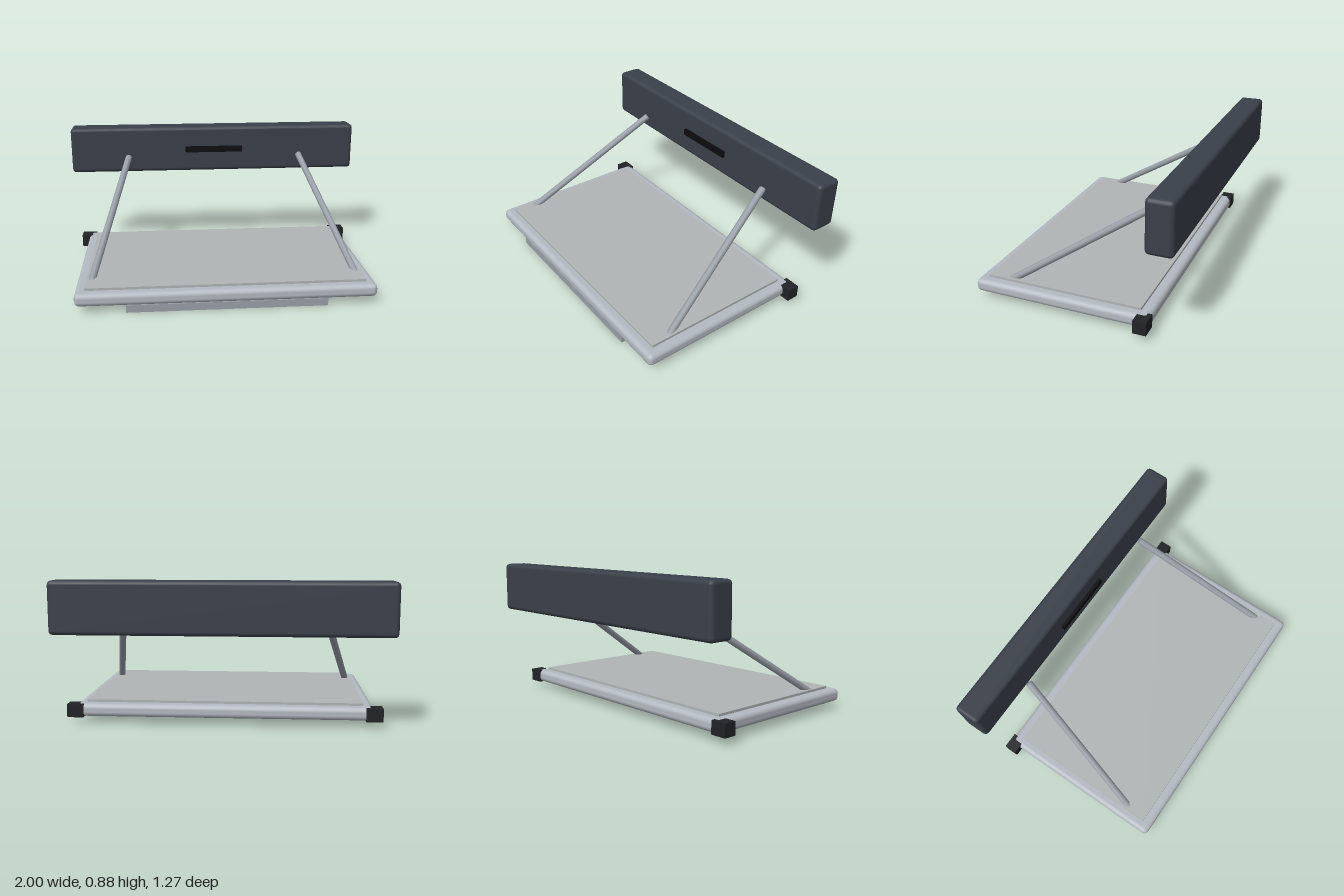
import * as THREE from 'three';
import { RoundedBoxGeometry } from 'three/addons/geometries/RoundedBoxGeometry.js';

const mat = (color, flatShading = false) => new THREE.MeshStandardMaterial({ color, flatShading });

export function createModel() {
  const model = new THREE.Group();
  model.name = 'standWithPanel';

  const frameMat = mat(0xb4bac2);
  const plateMat = mat(0xb0b5b6);
  const strutMat = mat(0x9ba1a9);
  const panelMat = mat(0x3a404a);
  const hingeMat = mat(0x222326);
  const slotMat = mat(0x0c0c0e);

  // Adds a box given its extents; a radius softens the edges
  const box = (name, material, [x0, x1], [y0, y1], [z0, z1], radius = 0) => {
    const size = [x1 - x0, y1 - y0, z1 - z0];
    const geometry = radius
      ? new RoundedBoxGeometry(...size, 2, radius)
      : new THREE.BoxGeometry(...size);
    const mesh = new THREE.Mesh(geometry, material);
    mesh.name = name;
    mesh.position.set((x0 + x1) / 2, (y0 + y1) / 2, (z0 + z1) / 2);
    model.add(mesh);
  };

  // Base tray, its raised top plate and the front foot
  box('baseTray', frameMat, [-0.9, 0.9], [0.045, 0.125], [-0.47, 0.635], 0.03);
  box('topPlate', plateMat, [-0.84, 0.84], [0.1, 0.14], [-0.405, 0.575]);
  box('frontFoot', strutMat, [-0.6, 0.6], [0, 0.047], [0.585, 0.625]);

  // Raised rear panel with the slot on its front
  box('rearPanel', panelMat, [-1, 1], [0.565, 0.88], [-0.635, -0.475], 0.025);
  box('panelSlot', slotMat, [-0.2, 0.2], [0.703, 0.743], [-0.495, -0.455]);

  for (const side of [1, -1]) {
    const name = side > 0 ? 'left' : 'right';

    // Hinge block at the rear corner
    const xs = side > 0 ? [0.85, 0.95] : [-0.95, -0.85];
    box(name + 'Hinge', hingeMat, xs, [0.043, 0.123], [-0.475, -0.395]);

    // Slanted support strut
    const foot = new THREE.Vector3(side * 0.84, 0.045, 0.555);
    const head = new THREE.Vector3(side * 0.6, 0.683, -0.435);
    const dir = head.clone().sub(foot);
    const strut = new THREE.Mesh(new THREE.CylinderGeometry(0.022, 0.022, dir.length(), 8), strutMat);
    strut.name = name + 'Strut';
    strut.position.copy(foot).add(head).multiplyScalar(0.5);
    strut.quaternion.setFromUnitVectors(new THREE.Vector3(0, 1, 0), dir.normalize());
    model.add(strut);
  }
  return model;
}
